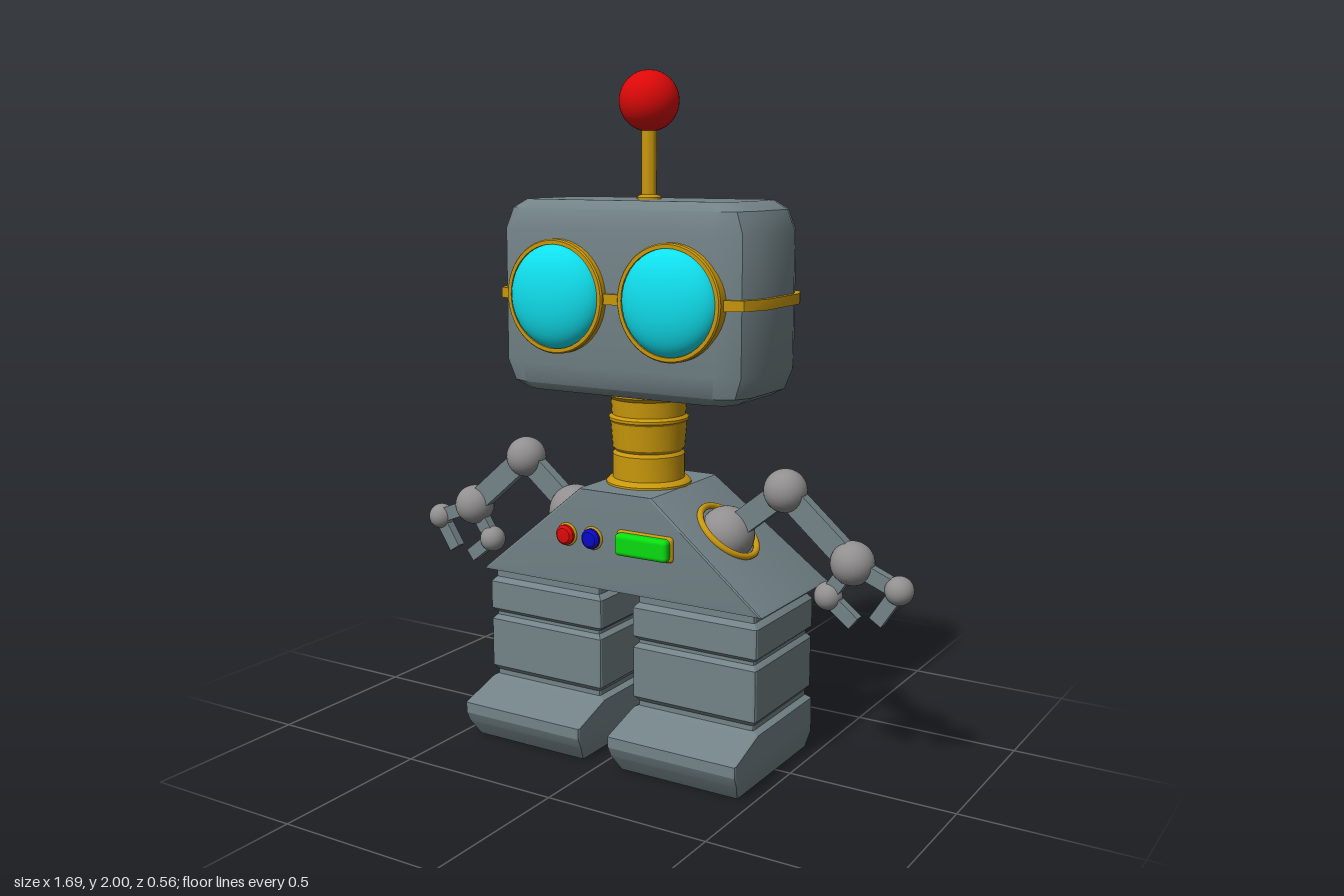
import * as THREE from 'three';
import { toCreasedNormals } from 'three/addons/utils/BufferGeometryUtils.js';
import { RoundedBoxGeometry } from 'three/addons/geometries/RoundedBoxGeometry.js';

const mat = (color) => new THREE.MeshStandardMaterial({ color });
const ZC = -0.032; // depth of the head, neck and arm centreline

// Level outline of a box with cut corners, anticlockwise from above
function ring(y, hx, z0, z1, c, x = 0) {
  const mz = (z0 + z1) / 2, hz = (z1 - z0) / 2, k = 0.3 * c;
  const corner = [[hx, hz - c], [hx - k, hz - k], [hx - c, hz]];
  const pts = [];
  for (const [sx, sz] of [[1, 1], [1, -1], [-1, -1], [-1, 1]]) {
    const part = corner.map(([a, b]) => new THREE.Vector3(x + sx * a, y, mz + sz * b));
    pts.push(...(sx * sz > 0 ? part.reverse() : part));
  }
  return pts;
}

// Skin a stack of outlines, from bottom to top, and cap both ends
function loft(rings, crease = 0.6) {
  const out = [];
  const tri = (...p) => p.forEach((v) => out.push(v.x, v.y, v.z));
  const n = rings[0].length;
  const middle = (r) => r.reduce((s, p) => s.add(p), new THREE.Vector3()).divideScalar(n);
  const first = rings[0], last = rings[rings.length - 1];
  const lo = middle(first), hi = middle(last);
  for (let j = 0; j < n; j++) {
    const k = (j + 1) % n;
    for (let i = 0; i + 1 < rings.length; i++) {
      const a = rings[i], b = rings[i + 1];
      tri(a[j], a[k], b[k]);
      tri(a[j], b[k], b[j]);
    }
    tri(lo, first[k], first[j]);
    tri(hi, last[j], last[k]);
  }
  const g = new THREE.BufferGeometry();
  g.setAttribute('position', new THREE.Float32BufferAttribute(out, 3));
  return toCreasedNormals(g, crease);
}

function lathe(points, segments = 40) {
  const g = new THREE.LatheGeometry(points.map(([r, y]) => new THREE.Vector2(r, y)), segments);
  return toCreasedNormals(g, 0.5);
}

export function createModel() {
  const model = new THREE.Group();
  model.name = 'robot';
  const body = mat(0x738388), joint = mat(0x918f8f), gold = mat(0xc9980c);
  const red = mat(0xdd0808), cyan = mat(0x10e0ee), blue = mat(0x0808c8), green = mat(0x08dd10);

  const add = (parent, name, geometry, material, x = 0, y = 0, z = 0) => {
    const m = new THREE.Mesh(geometry, material);
    m.name = name;
    m.position.set(x, y, z);
    parent.add(m);
    return m;
  };

  // Head with softened edges, and the goggle strap around it
  const headRing = (y, hx, hz, c) => ring(y, hx, ZC - hz, ZC + hz, c);
  add(model, 'head', loft([
    headRing(1.077, 0.35, 0.158, 0.06), headRing(1.1, 0.395, 0.18, 0.08), headRing(1.16, 0.423, 0.193, 0.1),
    headRing(1.55, 0.423, 0.193, 0.1), headRing(1.61, 0.395, 0.18, 0.08), headRing(1.635, 0.35, 0.158, 0.06),
  ]), body);
  add(model, 'goggleStrap', loft([headRing(1.345, 0.437, 0.205, 0.105), headRing(1.375, 0.437, 0.205, 0.105)]), gold);

  // Goggle lenses and rims
  for (const s of [1, -1]) {
    const eye = new THREE.Group();
    eye.name = s > 0 ? 'leftEye' : 'rightEye';
    eye.position.set(s * 0.19, 1.36, 0.155);
    model.add(eye);
    const lens = new THREE.SphereGeometry(0.152, 40, 14, 0, Math.PI * 2, 0, Math.PI / 2);
    lens.scale(1, 0.46, 1).rotateX(Math.PI / 2);
    add(eye, 'lens', lens, cyan, 0, 0, 0.012);
    const rim = lathe([[0.148, -0.01], [0.165, -0.01], [0.165, 0.024], [0.161, 0.029], [0.15, 0.029], [0.148, -0.01]], 48);
    add(eye, 'lensRim', rim.rotateX(Math.PI / 2), gold);
  }

  // Antenna
  add(model, 'antennaRod', lathe([[0, 1.62], [0.036, 1.62], [0.036, 1.64], [0.03, 1.646], [0.022, 1.648], [0.022, 1.86]], 24), gold, 0, 0, ZC);
  add(model, 'antennaBall', new THREE.SphereGeometry(0.087, 36, 24), red, 0, 1.913, ZC);

  // Ribbed neck
  add(model, 'neck', lathe([
    [0, 0.79], [0.127, 0.79], [0.127, 0.806], [0.118, 0.815], [0.108, 0.818], [0.108, 0.89], [0.1, 0.9], [0.108, 0.91],
    [0.114, 0.985], [0.119, 0.992], [0.119, 1.0], [0.11, 1.008], [0.113, 1.055], [0.125, 1.066], [0.125, 1.08], [0, 1.08],
  ]), gold, 0, 0, ZC);

  // Torso: upright front, sloping sides and back
  add(model, 'torso', loft([
    ring(0.505, 0.48, -0.28, 0.157, 0.008), ring(0.517, 0.468, -0.274, 0.159, 0.01), ring(0.8, 0.125, -0.222, 0.159, 0.012),
  ], 0.4), body);

  // Chest buttons and light panel
  for (const [name, x, m] of [['redButton', -0.165, red], ['blueButton', -0.075, blue]]) {
    add(model, name + 'Bezel', new THREE.TorusGeometry(0.029, 0.006, 8, 28), gold, x, 0.657, 0.161);
    const cap = lathe([[0, 0], [0.03, 0], [0.03, 0.02], [0.022, 0.028], [0, 0.031]], 28);
    add(model, name, cap.rotateX(Math.PI / 2), m, x, 0.657, 0.155);
  }
  add(model, 'lightPanelBezel', new RoundedBoxGeometry(0.188, 0.076, 0.03, 2, 0.012), gold, 0.105, 0.658, 0.156);
  add(model, 'lightPanel', new RoundedBoxGeometry(0.176, 0.066, 0.06, 3, 0.014), green, 0.105, 0.658, 0.163);

  for (const s of [1, -1]) {
    const side = s > 0 ? 'left' : 'right';

    // Arm: shoulder socket, ball joints and flat links
    const arm = new THREE.Group();
    arm.name = side + 'Arm';
    arm.position.z = ZC;
    model.add(arm);
    const ball = (name, [x, y], r) => add(arm, name, new THREE.SphereGeometry(r, 28, 18), joint, s * x, y);
    const link = (name, [x0, y0], [x1, y1], w, t) => {
      const dx = s * (x1 - x0), dy = y1 - y0;
      const m = add(arm, name, new THREE.BoxGeometry(Math.hypot(dx, dy), w, t), body, s * (x0 + x1) / 2, (y0 + y1) / 2);
      m.rotation.z = Math.atan2(dy, dx);
    };
    const shoulder = [0.267, 0.675], elbow = [0.453, 0.826], wrist = [0.663, 0.645];
    const socket = add(arm, 'shoulderRing', new THREE.TorusGeometry(0.099, 0.01, 10, 40), gold, s * 0.272, 0.684);
    socket.quaternion.setFromUnitVectors(new THREE.Vector3(0, 0, 1), new THREE.Vector3(s * 0.63, 0.776, 0).normalize());
    ball('shoulderBall', shoulder, 0.082);
    link('upperArm', shoulder, elbow, 0.07, 0.035);
    ball('elbowBall', elbow, 0.063);
    link('forearm', elbow, wrist, 0.07, 0.035);
    ball('wristBall', wrist, 0.063);
    for (const [name, knuckle, tip] of [
      ['outerFinger', [0.803, 0.588], [0.74, 0.49]], ['innerFinger', [0.592, 0.54], [0.675, 0.475]],
    ]) {
      link(name + 'Base', wrist, knuckle, 0.045, 0.03);
      ball(name + 'Knuckle', knuckle, 0.041);
      link(name + 'Tip', knuckle, tip, 0.042, 0.03);
    }

    // Leg: boot with sloping toe, then grooved segments
    const cx = s * 0.258;
    add(model, side + 'Leg', loft([
      [0, 0.193, -0.208, 0.232], [0.05, 0.208, -0.213, 0.266], [0.08, 0.209, -0.213, 0.28], [0.112, 0.209, -0.213, 0.28],
      [0.155, 0.207, -0.213, 0.145], [0.165, 0.19, -0.203, 0.137], [0.18, 0.19, -0.203, 0.137], [0.195, 0.202, -0.213, 0.15],
      [0.345, 0.202, -0.213, 0.15], [0.358, 0.19, -0.203, 0.138], [0.368, 0.19, -0.203, 0.138], [0.38, 0.204, -0.214, 0.15],
      [0.465, 0.204, -0.214, 0.15], [0.48, 0.19, -0.203, 0.138], [0.515, 0.19, -0.203, 0.138],
    ].map(([y, hx, z0, z1]) => ring(y, hx, z0, z1, 0.008, cx)), 0.35), body);
  }
  return model;
}
